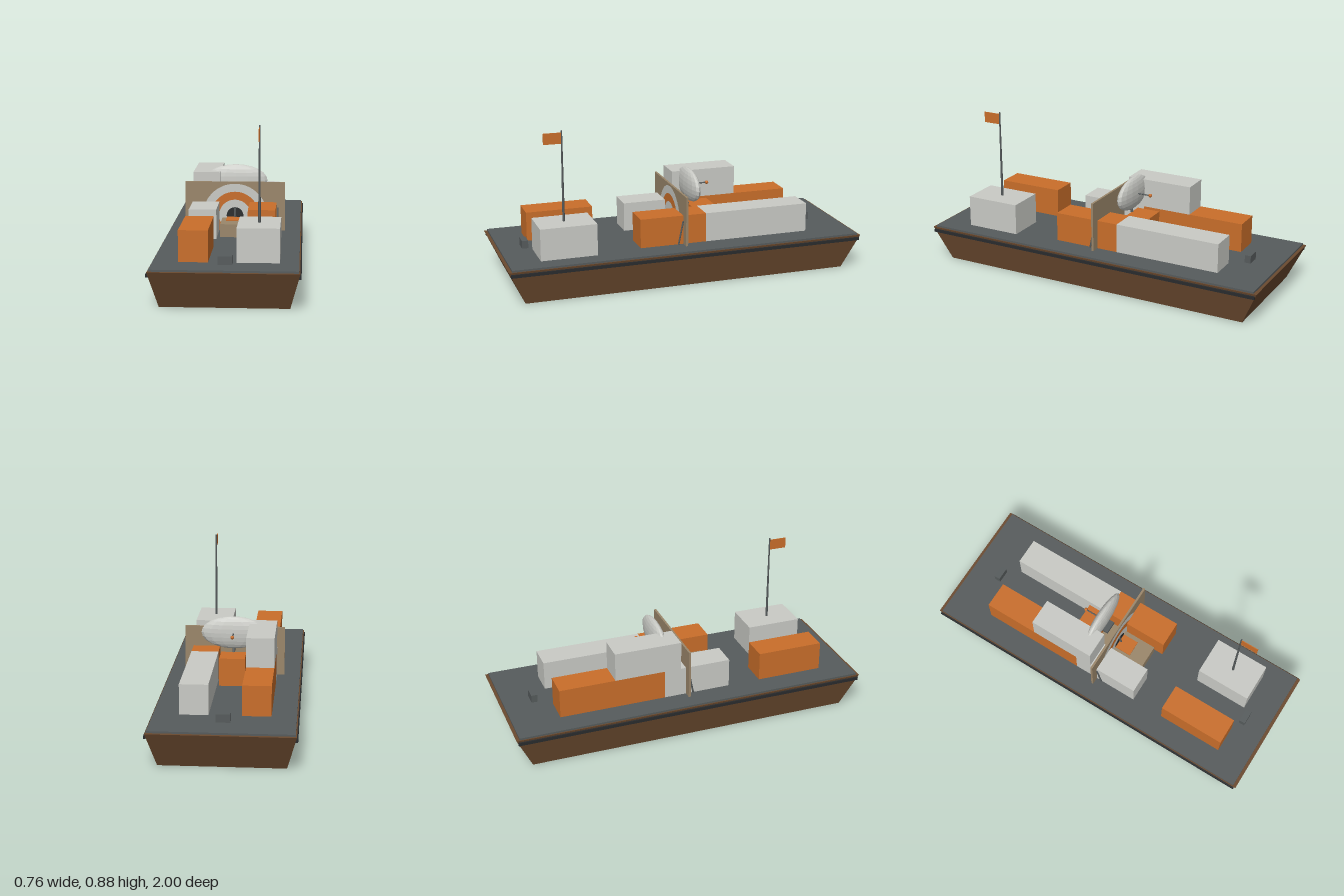
import * as THREE from 'three';

const mat = (name, color) => Object.assign(new THREE.MeshStandardMaterial({ color }), { name });

export function createModel() {
  const brown = mat('hull brown', 0x6b4a2f);
  const grey = mat('deck grey', 0x565b5c);
  const black = mat('rubber black', 0x292b2d);
  const orange = mat('orange', 0xc96e2a);
  const white = mat('off white', 0xc9cac5);
  const tan = mat('tan', 0x9a866a);

  const model = new THREE.Group();
  model.name = 'barge';
  const add = (name, geometry, material) => {
    const mesh = new THREE.Mesh(geometry, material);
    mesh.name = name;
    model.add(mesh);
    return mesh;
  };
  // Box given by its limits on each axis
  const box = (name, material, [x0, x1], [y0, y1], [z0, z1]) => {
    const mesh = add(name, new THREE.BoxGeometry(x1 - x0, y1 - y0, z1 - z0), material);
    mesh.position.set((x0 + x1) / 2, (y0 + y1) / 2, (z0 + z1) / 2);
    return mesh;
  };
  // Flat-sided rod between two points
  const rod = (name, material, from, to, r0, r1 = r0) => {
    const a = new THREE.Vector3(...from), b = new THREE.Vector3(...to);
    const d = b.clone().sub(a);
    const mesh = add(name, new THREE.CylinderGeometry(r1, r0, d.length(), 8), material);
    mesh.position.copy(a).add(b).multiplyScalar(0.5);
    mesh.quaternion.setFromUnitVectors(new THREE.Vector3(0, 1, 0), d.normalize());
  };
  const facet = (geometry) => {
    const flat = geometry.toNonIndexed();
    flat.computeVertexNormals();
    return flat;
  };

  // Hull, narrowing to its flat bottom
  const hull = new THREE.BoxGeometry(0.746, 0.195, 2);
  const p = hull.attributes.position;
  for (let i = 0; i < p.count; i++) {
    if (p.getY(i) < 0) p.setXYZ(i, p.getX(i) * 0.87, p.getY(i), p.getZ(i) * 0.91);
  }
  hull.translate(0, 0.0975, 0);
  add('hull', facet(hull), brown);
  const deckY = 0.205;
  box('deck', grey, [-0.367, 0.367], [0.194, deckY], [-0.982, 0.982]);

  // Rubbing strips along both sides
  for (const s of [-1, 1]) {
    const strip = box('fender', black, [-0.006, 0.006], [0.167, 0.184], [-0.99, 0.99]);
    strip.position.x = s * 0.373;
  }
  for (const z of [0.845, -0.815]) {
    box('bollard', grey, [-0.037, 0.037], [deckY, 0.248], [z - 0.017, z + 0.017]);
  }

  // Cargo containers: colour, x limits, top and bottom, z limits
  const left = [0.083, 0.233], right = [-0.238, -0.088], low = [deckY, 0.367];
  box('container', orange, left, low, [-0.125, 0.25]);
  box('container', white, left, low, [-0.725, -0.125]);
  box('container', white, right, low, [-0.13, 0.25]);
  box('container', orange, right, low, [-0.725, -0.13]);
  box('stackedContainer', white, right, [0.367, 0.528], [-0.412, -0.035]);
  box('container', orange, right, low, [0.435, 0.81]);
  box('cabin', white, [0.054, 0.27], [deckY, 0.38], [0.5, 0.81]);
  box('crate', tan, [-0.071, 0.071], [deckY, 0.277], [-0.1, 0.2]);
  box('crateLid', orange, [-0.045, 0.045], [0.277, 0.283], [0.012, 0.105]);
  box('dishBase', orange, [-0.07, 0.07], [deckY, 0.36], [-0.235, -0.1]);

  // Target board with rings cut off at the deck
  box('targetBoard', tan, [-0.28, 0.28], [deckY, 0.481], [-0.006, 0.006]);
  const cy = 0.29;
  [[0.18, white], [0.135, orange], [0.09, white], [0.047, black]].forEach(([r, material], i) => {
    const cut = Math.asin(Math.min(1, (cy - deckY) / r));
    const disc = new THREE.Shape();
    disc.absarc(0, 0, r, -cut, Math.PI + cut, false);
    add('targetRing', new THREE.ShapeGeometry(disc, 32), material)
      .position.set(0, cy, 0.007 + i * 0.001);
  });
  // Slanting braces in front of the board
  for (const x of [-0.24, 0, 0.24]) {
    rod('brace', grey, [x, deckY, 0.036], [x, 0.338, 0.009], 0.005);
  }

  // Dish with feed arm pointing back
  const dish = new THREE.SphereGeometry(1, 16, 12);
  dish.scale(0.178, 0.091, 0.034);
  add('dish', facet(dish), white).position.set(0, 0.474, -0.105);
  rod('dishPost', grey, [0, 0.34, -0.105], [0, 0.41, -0.085], 0.008);
  box('dishMount', grey, [-0.036, 0.036], [0.398, 0.416], [-0.09, -0.048]);
  rod('feedArm', grey, [0, 0.474, -0.13], [0, 0.474, -0.21], 0.004);
  add('feedTip', new THREE.SphereGeometry(0.01, 10, 8), orange).position.set(0, 0.474, -0.212);

  // Flag mast on the cabin
  rod('mast', grey, [0.162, 0.38, 0.657], [0.162, 0.876, 0.657], 0.007, 0.004);
  box('flag', orange, [0.16, 0.164], [0.805, 0.865], [0.66, 0.757]);

  return model;
}
